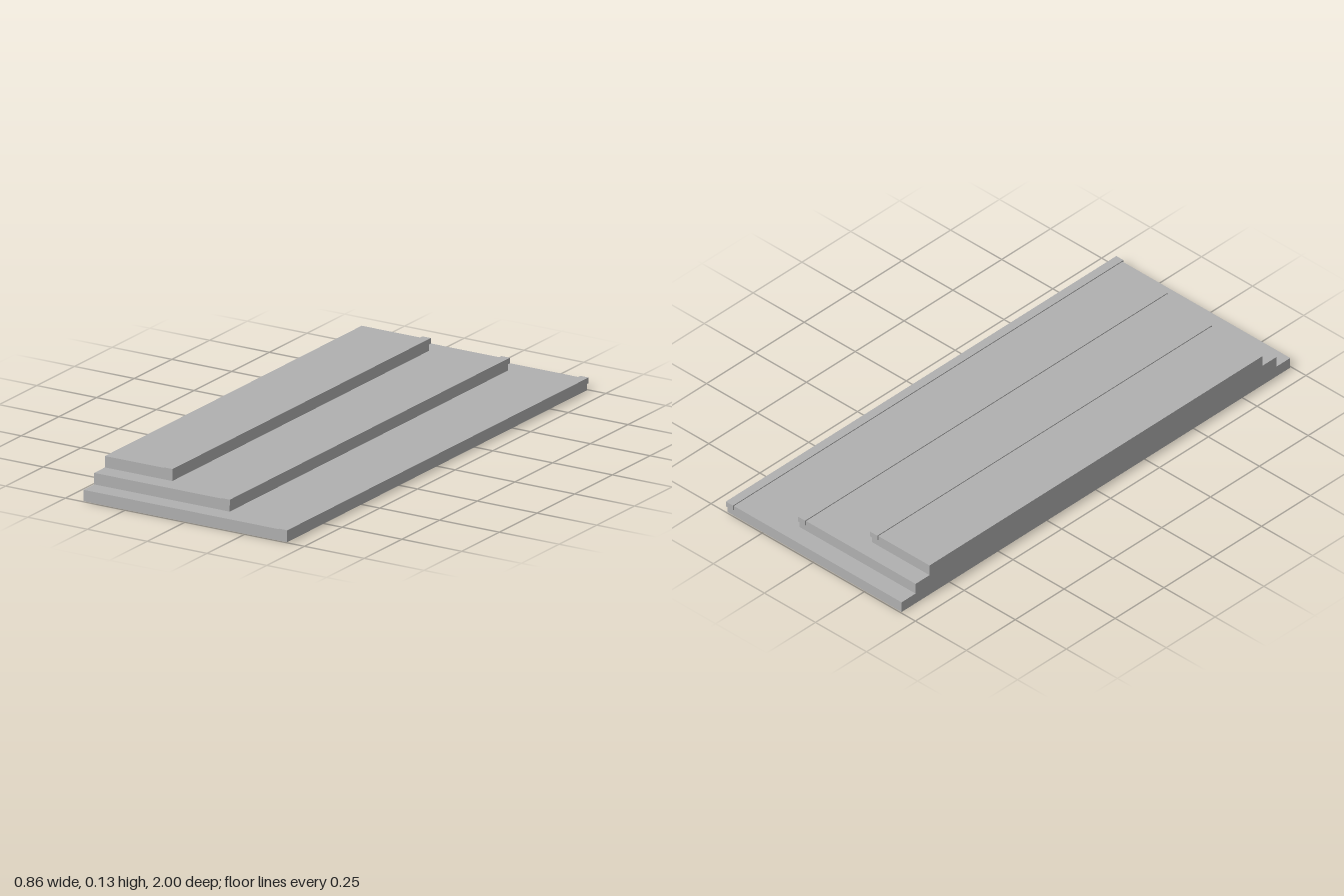
import * as THREE from 'three';

export function createModel() {
  const group = new THREE.Group();
  group.name = 'steppedPlatform';
  const stone = new THREE.MeshStandardMaterial({ color: 0xb0b0b0 });
  stone.name = 'grey stone';

  const back = -0.428, rise = 0.0427;

  // Box given by its x and y extents and its half length along z
  const block = (name, x0, x1, y0, y1, halfZ) => {
    const mesh = new THREE.Mesh(new THREE.BoxGeometry(x1 - x0, y1 - y0, halfZ * 2), stone);
    mesh.name = name;
    mesh.position.set((x0 + x1) / 2, (y0 + y1) / 2, 0);
    group.add(mesh);
  };

  // Three stacked steps, each shorter and narrower than the one below
  for (let i = 0; i < 3; i++) {
    const front = 0.424 - i * 0.285;
    const top = (i + 1) * rise;
    const halfZ = 0.995 - i * 0.0715;
    block(`step${i + 1}`, back, front, i * rise, top, halfZ);
    // Nosing strip standing slightly proud of the tread, front and ends
    block(`nosing${i + 1}`, front - 0.031, front + 0.004, top - 0.017, top + 0.004, halfZ + 0.005);
  }
  return group;
}
